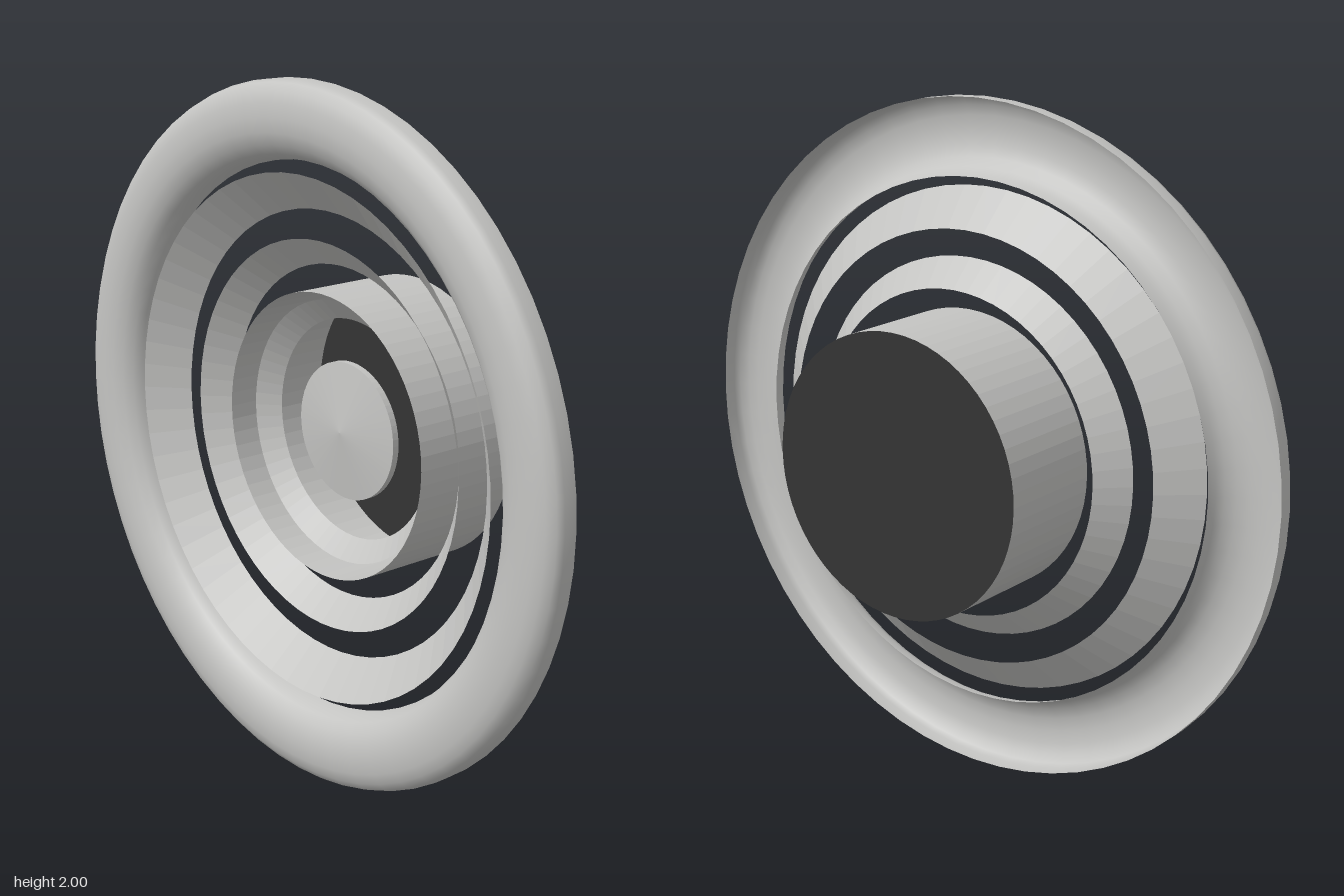
import * as THREE from 'three';

const SEGMENTS = 64;

export function createModel() {
  const model = new THREE.Group();
  model.name = 'recessedLamp';

  const grey = new THREE.MeshStandardMaterial({ color: 0xc4c4c2, side: THREE.DoubleSide });
  grey.name = 'satinGrey';
  const dark = new THREE.MeshStandardMaterial({ color: 0x343434, side: THREE.DoubleSide });
  dark.name = 'darkGrey';

  // All parts share one axis along z; profiles are [radius, z] pairs.
  const lamp = new THREE.Group();
  lamp.name = 'lamp';
  lamp.position.y = 1;
  model.add(lamp);

  function revolve(name, profile, material, faceted = false) {
    const points = profile.map(([r, z]) => new THREE.Vector2(r, z));
    let geometry = new THREE.LatheGeometry(points, SEGMENTS);
    geometry.rotateX(Math.PI / 2);
    if (faceted) {
      geometry = geometry.toNonIndexed();
      geometry.computeVertexNormals();
    }
    const mesh = new THREE.Mesh(geometry, material);
    mesh.name = name;
    lamp.add(mesh);
    return mesh;
  }

  // Rounded trim, an open shell at the back
  revolve('trimRing', [
    [1, 0.14], [1, 0.18], [0.992, 0.2], [0.97, 0.217], [0.94, 0.226], [0.9, 0.23],
    [0.86, 0.226], [0.825, 0.213], [0.8, 0.192], [0.786, 0.168], [0.78, 0.14],
  ], grey);

  // Three thin conical baffles stepping back into the lamp
  [
    ['outerBaffle', 0.75, 0.185, 0.64, 0.09],
    ['middleBaffle', 0.56, 0.115, 0.48, 0.037],
    ['innerBaffle', 0.38, 0.045, 0.32, -0.005],
  ].forEach(([name, frontRadius, frontZ, backRadius, backZ]) => {
    revolve(name, [[backRadius, backZ], [frontRadius, frontZ]], grey, true);
  });

  // Open tube with a dark back plate
  revolve('housing', [[0.412, -0.23], [0.412, 0.11]], grey, true);
  const back = new THREE.Mesh(new THREE.CircleGeometry(0.412, SEGMENTS), dark);
  back.name = 'backPlate';
  back.position.z = -0.23;
  lamp.add(back);

  // Shallow conical lens
  revolve('lens', [[0, 0], [0.2, 0], [0.2, 0.02], [0, 0.045]], grey, true);

  return model;
}
